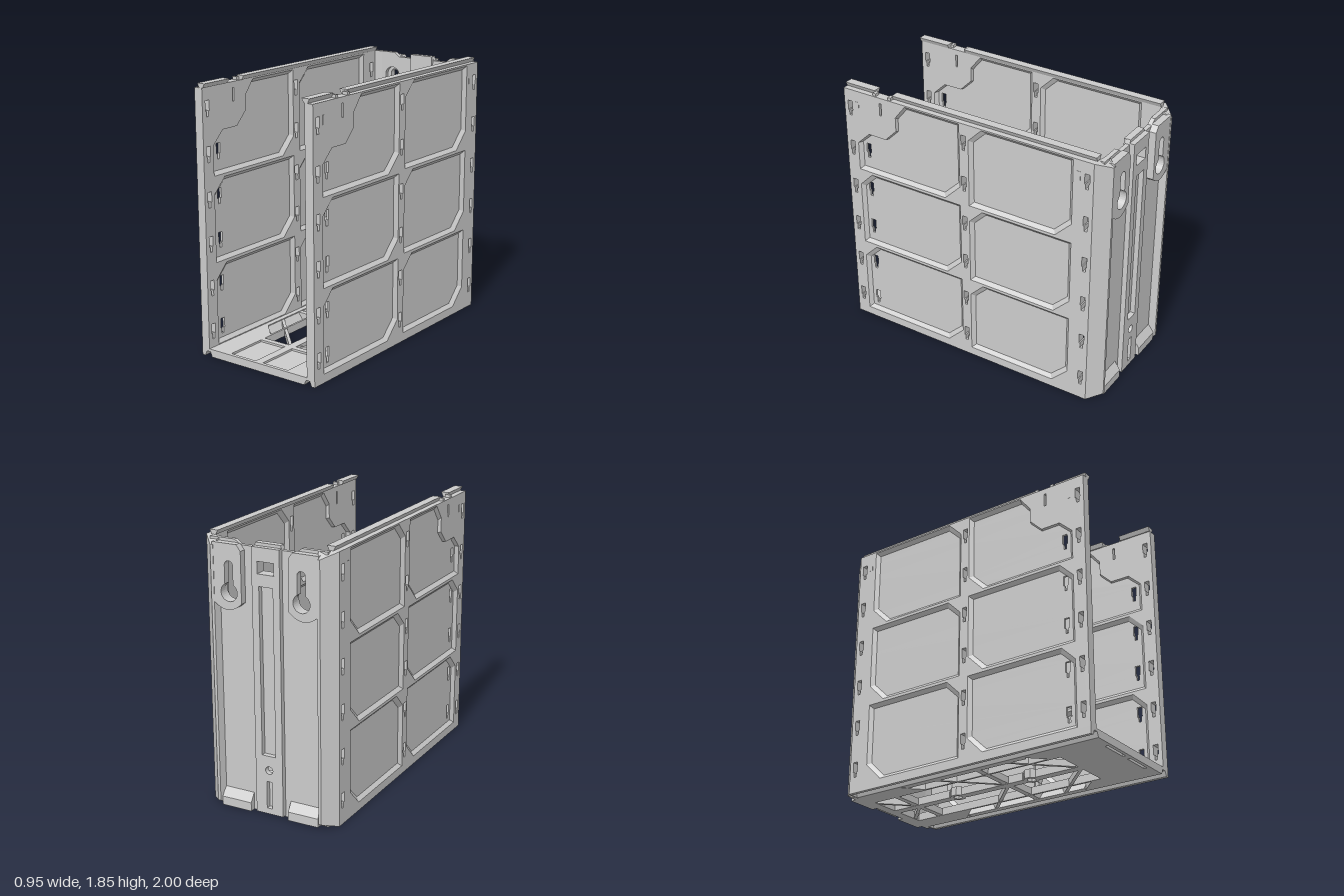
import * as THREE from 'three';

const grey = new THREE.MeshStandardMaterial({ color: 0xcccccc, side: THREE.DoubleSide, flatShading: true });
const mirrorSides = [1, -1];

const path = (pts) => new THREE.Path(pts.map(([x, y]) => new THREE.Vector2(x, y)));
const rect = (x0, x1, y0, y1) => path([[x0, y0], [x1, y0], [x1, y1], [x0, y1]]);
const circle = (x, y, r) => new THREE.Path().absarc(x, y, r, 0, Math.PI * 2, false);

function add(group, name, geo) {
  const mesh = new THREE.Mesh(geo, grey);
  mesh.name = name;
  group.add(mesh);
  return mesh;
}

// Plate with holes between depths a and b along the drawing's normal
function plate(outline, holes, a, b) {
  const shape = new THREE.Shape(outline.getPoints(12));
  shape.holes = holes;
  const geo = new THREE.ExtrudeGeometry(shape, { depth: b - a, bevelEnabled: false, curveSegments: 12 });
  return geo.translate(0, 0, a);
}
// Drawn as (-z, y), thickness along x
const sidePlate = (o, h, a, b) => plate(o, h, a, b).rotateY(Math.PI / 2);
// Drawn as (x, -z), thickness along y
const floorPlate = (o, h, a, b) => plate(o, h, a, b).rotateX(-Math.PI / 2);

function box(group, name, x0, x1, y0, y1, z0, z1) {
  const geo = new THREE.BoxGeometry(x1 - x0, y1 - y0, z1 - z0);
  return add(group, name, geo.translate((x0 + x1) / 2, (y0 + y1) / 2, (z0 + z1) / 2));
}

// Sloped strip joining two loops of equal length at depths xa and xb
function bevelRing(outer, inner, xa, xb) {
  const pos = [];
  outer.forEach((p, i) => {
    const j = (i + 1) % outer.length, q = outer[j], r = inner[j], s = inner[i];
    const P = [xa, p[1], -p[0]], Q = [xa, q[1], -q[0]], R = [xb, r[1], -r[0]], S = [xb, s[1], -s[0]];
    pos.push(...P, ...Q, ...R, ...P, ...R, ...S);
  });
  const geo = new THREE.BufferGeometry();
  geo.setAttribute('position', new THREE.Float32BufferAttribute(pos, 3));
  geo.computeVertexNormals();
  return geo;
}

// Panel outline in (-z, y) with two clipped corners; the stepped one clears the latch
function panelOutline(zFront, zBack, y0, y1, stepped) {
  const a = -zFront, b = -zBack;
  const corner = stepped
    ? [[a, 1.43], [-0.81, 1.52], [-0.67, 1.52], [-0.58, 1.61], [-0.58, 1.71], [-0.5, y1]]
    : [[a, y1 - 0.1], [a + 0.1, y1]];
  return [[a, y0], ...corner, [b, y1], [b, y0 + 0.12], [b - 0.12, y0]];
}

// Shrinks a loop by a fixed margin at its extremes
function inset(pts, m) {
  const xs = pts.map((p) => p[0]), ys = pts.map((p) => p[1]);
  const fit = (v, lo, hi) => (lo + hi) / 2 + (v - (lo + hi) / 2) * (1 - (2 * m) / (hi - lo));
  return pts.map(([x, y]) => [fit(x, Math.min(...xs), Math.max(...xs)), fit(y, Math.min(...ys), Math.max(...ys))]);
}

// Stepped slot, wide above and narrow below
function keySlot(z, top) {
  const c = -z, w = 0.018, n = 0.01, m = top - 0.07, b = top - 0.107;
  return path([[c - w, top], [c + w, top], [c + w, m], [c + n, m], [c + n, b], [c - n, b], [c - n, m], [c - w, m]]);
}

function buildSideWall(s) {
  const wall = new THREE.Group();
  wall.name = s > 0 ? 'leftWall' : 'rightWall';
  const span = (a, b) => (s > 0 ? [a, b] : [-b, -a]);
  const tops = [...Array(6).keys()].map((k) => 1.735 - k * 0.303);
  const frameSlots = () => [0.953, 0.043, -0.865].flatMap((z) => tops.map((t) => keySlot(z, t)));
  const panelSlots = tops.slice(1).map((t) => keySlot(0.835, t));
  const outline = rect(-1, 0.91, 0.05, 1.82);
  const latchSlot = rect(-0.708, -0.692, 1.69, 1.78);

  const panels = [];
  [[1.225, 1.81], [0.635, 1.205], [0.06, 0.615]].forEach(([y0, y1], row) => {
    panels.push(panelOutline(0.905, 0.075, y0, y1, row === 0), panelOutline(0.005, -0.765, y0, y1, false));
  });

  add(wall, 'wallWeb', sidePlate(outline, [...frameSlots(), ...panelSlots, latchSlot], ...span(0.435, 0.452)));
  const frameHoles = () => [...frameSlots(), latchSlot, ...panels.map(path)];
  add(wall, 'outerFrame', sidePlate(outline, frameHoles(), ...span(0.452, 0.475)));
  add(wall, 'innerFrame', sidePlate(outline, frameHoles(), ...span(0.412, 0.435)));
  for (const p of panels) {
    add(wall, 'outerPanelBevel', bevelRing(p, inset(p, 0.025), s * 0.475, s * 0.452));
    add(wall, 'innerPanelBevel', bevelRing(p, inset(p, 0.025), s * 0.412, s * 0.435));
  }

  // Dovetail rail on top, interrupted at the latch
  const rail = path([[0.39, 1.85], [0.45, 1.85], [0.435, 1.82], [0.405, 1.82]].map(([x, y]) => [s * x, y]));
  add(wall, 'topRail', plate(rail, [], -0.91, 0.62));
  add(wall, 'topRail', plate(rail, [], 0.76, 1));
  for (const z of [0.63, 0.75]) box(wall, 'latchClip', ...span(0.43, 0.468), 1.8, 1.84, z - 0.012, z + 0.012);
  for (const z of [0.893, -0.805]) box(wall, 'hook', ...span(0.47, 0.477), 1.68, 1.74, z - 0.012, z + 0.012);

  // Dovetail groove underneath
  const groove = [[0.378, 0], [0.39, 0], [0.405, 0.035], [0.435, 0.035], [0.45, 0], [0.475, 0], [0.475, 0.054], [0.378, 0.054]];
  add(wall, 'bottomGroove', plate(path(groove.map(([x, y]) => [s * x, y])), [], -0.91, 1));
  return wall;
}

// Keyhole opening with neck half-width w
function keyhole(cx, w, top) {
  const a = Math.asin(Math.min(1, w / 0.06)), h = Math.PI / 2;
  return new THREE.Path()
    .absarc(cx, 1.485, 0.06, h + a, h - a + 2 * Math.PI, false)
    .absarc(cx, top - w, w, 0, Math.PI, false);
}

function buildBack() {
  const back = new THREE.Group();
  back.name = 'backWall';
  const half = [[0.42, 0], [0.42, 1.82], [0.24, 1.82], [0.2, 1.79], [0.1, 1.79], [0.09, 1.82]];
  const outline = path([...half, ...half.map(([x, y]) => [-x, y]).reverse()]);
  const window = () => rect(-0.06, 0.06, 1.63, 1.71);
  add(back, 'backPanel', plate(outline,
    [keyhole(0.26, 0.06, 1.71), keyhole(-0.26, 0.06, 1.71), window(), circle(0, 0.32, 0.055)], -0.95, -0.92));
  add(back, 'windowFrame', plate(rect(-0.093, 0.093, 1.6, 1.82), [window()], -0.92, -0.905));
  box(back, 'windowTab', -0.035, 0.035, 1.59, 1.6, -0.92, -0.905);

  // Raised spine with a long groove and countersunk screw hole
  add(back, 'spine', plate(rect(-0.1, 0.1, 0.01, 1.8),
    [window(), rect(-0.05, 0.05, 0.42, 1.55), circle(0, 0.32, 0.027), rect(-0.02, 0.02, 0.05, 0.24)], -0.985, -0.95));
  const sink = new THREE.CylinderGeometry(0.055, 0.027, 0.03, 24, 1, true).rotateX(Math.PI / 2);
  add(back, 'countersink', sink.translate(0, 0.32, -0.935));

  for (const s of mirrorSides) {
    // Chamfered corner post, sloped at both ends
    const post = [[0.475, -0.91], [0.39, -1], [0.37, -1], [0.355, -0.95], [0.355, -0.92], [0.412, -0.91]];
    const geo = floorPlate(path(post.map(([x, z]) => [s * x, -z])), [], 0, 1.82);
    const p = geo.attributes.position;
    for (let i = 0; i < p.count; i++) {
      if (p.getZ(i) < -0.98) p.setY(i, p.getY(i) > 1 ? 1.78 : 0.03);
    }
    add(back, 'cornerPost', geo);

    // Keyhole boss with a curved lower lip
    const boss = new THREE.Path().moveTo(s * 0.38, 1.8);
    boss.lineTo(s * 0.2, 1.8).lineTo(s * 0.17, 1.76).lineTo(s * 0.17, 1.42);
    boss.quadraticCurveTo(s * 0.275, 1.32, s * 0.38, 1.42);
    add(back, 'keyholeBoss', plate(boss, [keyhole(s * 0.26, 0.03, 1.69)], -0.998, -0.95));

    // Sloped foot closing the channel
    const foot = path([[0.95, 0], [0.99, 0], [0.99, 0.06], [0.95, 0.12]]);
    add(back, 'channelFoot', sidePlate(foot, [], ...(s > 0 ? [0.14, 0.36] : [-0.36, -0.14])));
  }
  return back;
}

function buildFloor() {
  const floor = new THREE.Group();
  floor.name = 'floor';
  const top = 0.054;
  const holes = [rect(-0.24, 0.24, -0.63, 0.88)];
  for (const s of mirrorSides) {
    holes.push(path([[0.375, 0.55], [0.255, 0.43], [0.255, -0.55], [0.375, -0.43]].map(([x, y]) => [s * x, y])));
    holes.push(rect(...(s > 0 ? [0.03, 0.24] : [-0.24, -0.03]), -0.975, -0.67));
  }
  add(floor, 'floorPlate', floorPlate(rect(-0.38, 0.38, -1, 0.94), holes, 0, top));

  // Spine rib, cross ribs and nut bosses
  for (const [a, b] of [[-0.92, -0.4], [-0.3, 0.2], [0.3, 0.64]]) box(floor, 'centreRib', -0.03, 0.03, 0, top, a, b);
  box(floor, 'crossRib', -0.24, 0.24, 0.002, 0.05, -0.71, -0.67);
  box(floor, 'crossRib', -0.39, 0.39, 0.002, 0.05, 0.045, 0.085);
  const ngon = (n, r, z) => path([...Array(n).keys()].map((i) => {
    const a = ((i + 0.5) * 2 * Math.PI) / n;
    return [Math.cos(a) * r, -z + Math.sin(a) * r];
  }));
  for (const z of [-0.35, 0.25]) add(floor, 'nutBoss', floorPlate(ngon(8, 0.055, z), [ngon(6, 0.032, z)], 0, 0.06));

  for (const s of mirrorSides) {
    // Diagonal braces
    for (const [x0, z0, x1, z1] of [[0.03, 0.04, 0.38, -0.31], [0.03, 0.61, 0.38, 0.26], [0.03, -0.71, 0.24, -0.92]]) {
      const brace = new THREE.BoxGeometry(Math.hypot(x1 - x0, z1 - z0), 0.045, 0.022);
      const mesh = add(floor, 'brace', brace);
      mesh.position.set((s * (x0 + x1)) / 2, 0.025, (z0 + z1) / 2);
      mesh.rotation.y = -Math.atan2(z1 - z0, s * (x1 - x0));
    }
    // Sloped edge of the side openings and thin front panels
    add(floor, 'slopedEdge', plate(path([[0.38, 0], [0.34, 0], [0.38, top]].map(([x, y]) => [s * x, y])), [], -0.52, 0.44));
    box(floor, 'frontPanel', ...(s > 0 ? [0.03, 0.24] : [-0.24, -0.03]), 0, 0.04, 0.67, 0.955);
  }
  return floor;
}

export function createModel() {
  const model = new THREE.Group();
  model.name = 'openEnclosure';
  model.add(buildFloor(), buildBack(), ...mirrorSides.map(buildSideWall));
  return model;
}
